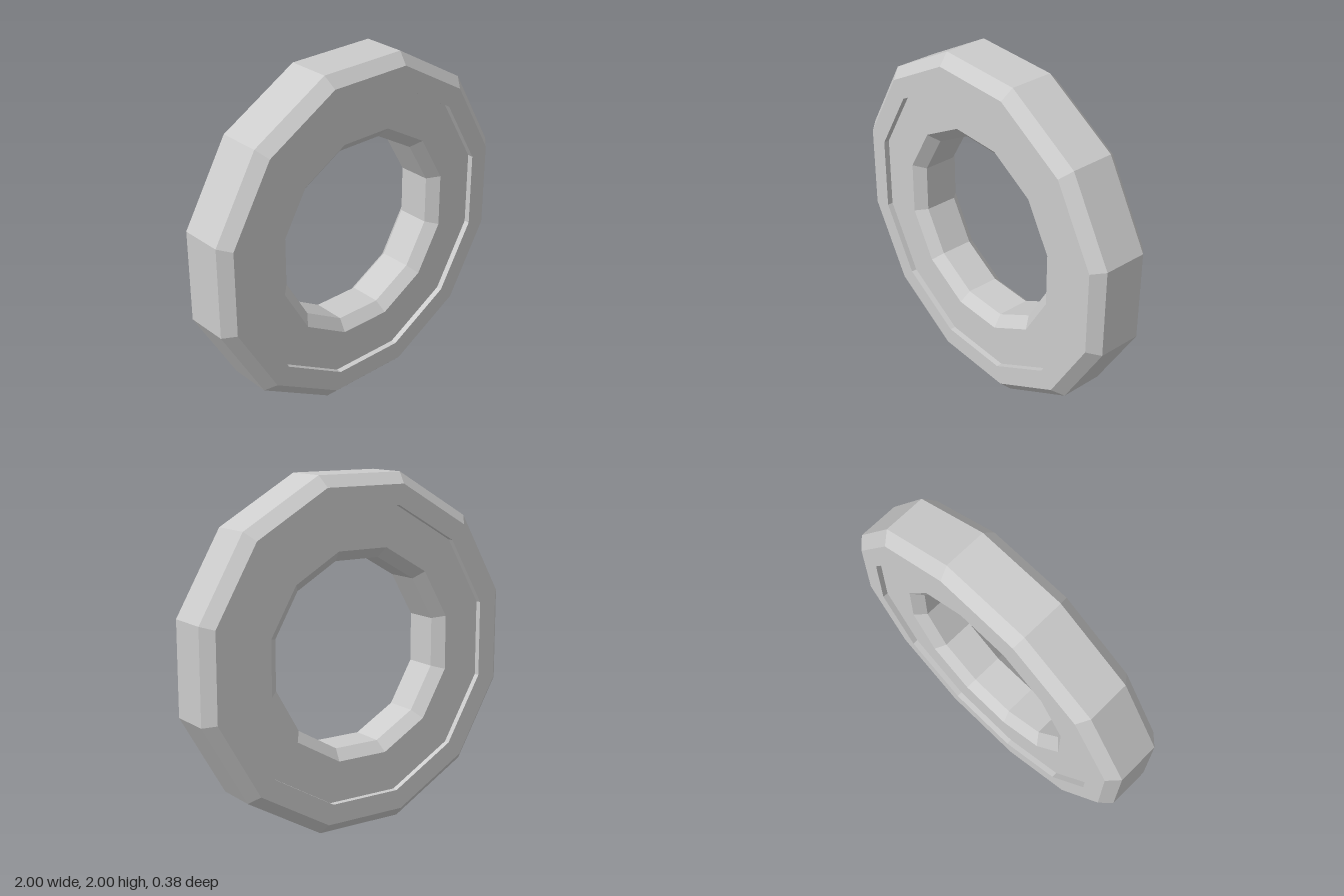
import * as THREE from 'three';

const SIDES = 12;
const HALF_STEP = Math.PI / SIDES;

// One half of the ring's cross-section: [distance from centre to flat, depth],
// from the outer rim across the stepped face to the bore.
const HALF_PROFILE = [
  [1.0, 0.125],    // outer rim
  [0.937, 0.188],  // outer chamfer
  [0.822, 0.188],  // raised border
  [0.822, 0.155],  // step down to the recessed face
  [0.59, 0.155],   // recessed face
  [0.53, 0.097],   // inner chamfer
];

export function createModel() {
  const group = new THREE.Group();
  group.name = 'ring';

  // Mirror the half profile and close the loop
  const back = [...HALF_PROFILE].reverse().map(([r, d]) => [r, -d]);
  const loop = [...HALF_PROFILE, ...back, HALF_PROFILE[0]];
  const points = loop.map(([r, d]) => new THREE.Vector2(r / Math.cos(HALF_STEP), d));

  // Twelve-sided ring, turned to face the front with flats on all four sides
  const geometry = new THREE.LatheGeometry(points, SIDES, HALF_STEP).toNonIndexed();
  geometry.rotateX(Math.PI / 2);
  geometry.computeVertexNormals();

  const material = new THREE.MeshStandardMaterial({ color: 0xcccccc, flatShading: true });
  const ring = new THREE.Mesh(geometry, material);
  ring.name = 'steppedRing';
  ring.position.y = 1;
  group.add(ring);
  return group;
}
